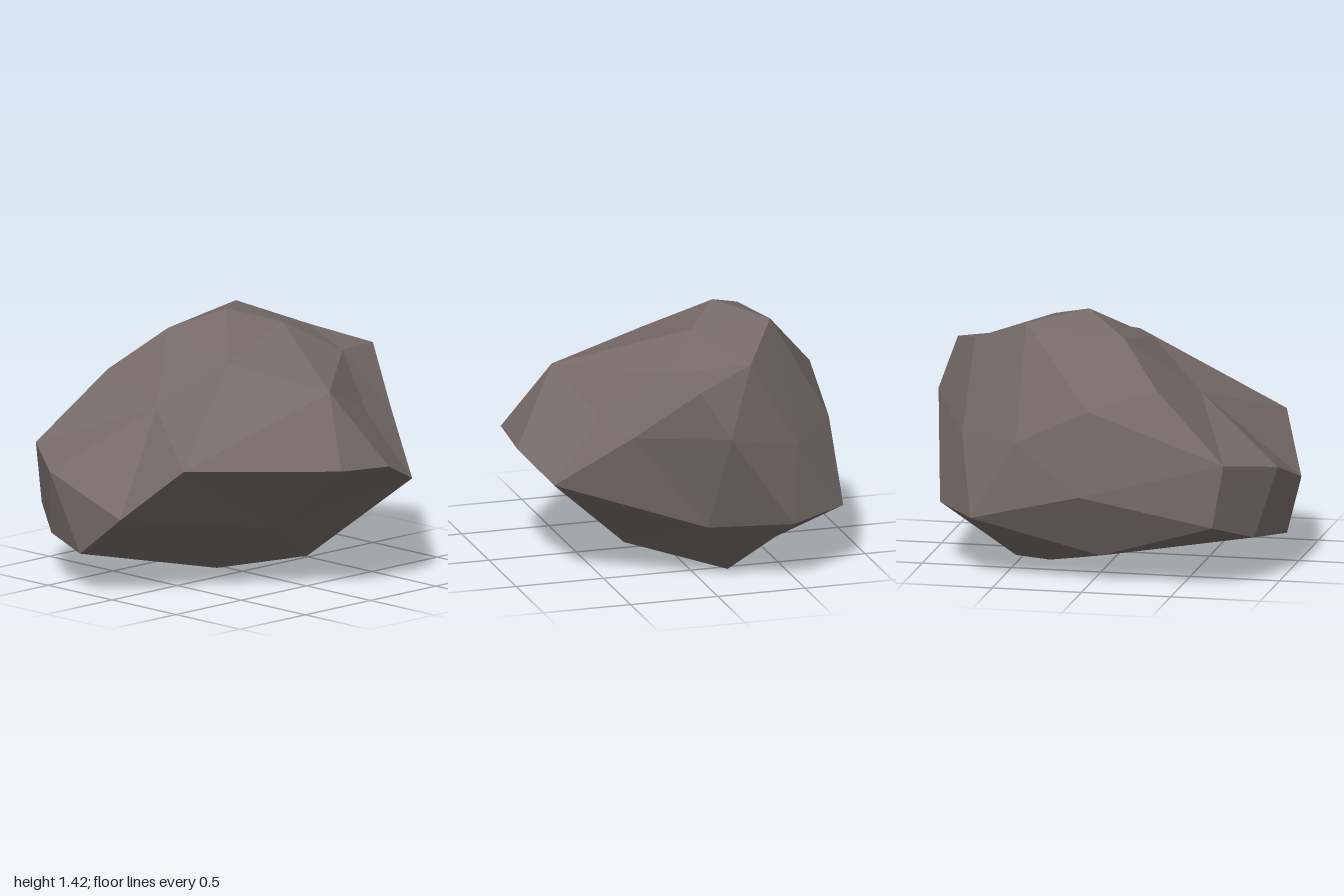
import * as THREE from 'three';
import { ConvexGeometry } from 'three/addons/geometries/ConvexGeometry.js';

// Corner points of the boulder, grouped by region
const top = [
  [0.12, 1.417, -0.245], [0.42, 1.375, -0.48], [0.355, 1.335, -0.05], [-0.17, 1.205, 0.06],
  [-0.12, 1.31, -0.46], [0.595, 1.176, 0.175], [0.755, 1.228, -0.265], [0.925, 1.15, 0.075],
  [0.03, 1.105, 0.65], [0.45, 0.91, 0.505], [-0.49, 0.965, -0.175], [-0.355, 1.08, -0.69],
];
const rim = [
  [-0.12, 0.725, 0.895], [0.23, 0.7, 0.91], [0.525, 0.567, 0.79], [0.74, 0.865, 0.405],
  [1, 0.89, -0.08], [0.77, 0.75, -0.53], [0.41, 0.78, -0.82], [0, 0.975, -0.838],
  [-0.76, 0.71, -0.84], [-0.99, 0.64, -0.5], [-1, 0.457, 0.065], [-0.845, 0.758, 0.4],
];
const base = [
  [-0.17, 0.34, 0.43], [0.82, 0.34, 0], [0.908, 0.343, -0.465], [0.66, 0.345, -0.825],
  [0.035, 0.51, -0.915], [-0.7, 0.36, -0.855], [-0.88, 0.26, -0.595], [-0.99, 0.215, -0.26],
  [-0.05, 0.15, -0.74], [0.28, 0.06, -0.52], [0.54, 0, -0.2], [0.21, 0.1, 0.29], [-0.155, 0.037, -0.04],
];

// Joins the points as a net on a sphere, then moves them to their places, so hollows survive
function rockGeometry(corners, centre) {
  const points = corners.map((c) => new THREE.Vector3(...c));
  const directions = points.map((p) => p.clone().sub(centre).normalize());
  const geometry = new ConvexGeometry(directions);
  const position = geometry.attributes.position;
  const v = new THREE.Vector3();
  for (let i = 0; i < position.count; i++) {
    v.fromBufferAttribute(position, i);
    let nearest = 0;
    directions.forEach((d, j) => {
      if (d.distanceToSquared(v) < directions[nearest].distanceToSquared(v)) nearest = j;
    });
    position.setXYZ(i, ...points[nearest].toArray());
  }
  geometry.computeVertexNormals();
  return geometry;
}

export function createModel() {
  const group = new THREE.Group();
  group.name = 'rock';
  const stone = new THREE.MeshStandardMaterial({ color: 0x756a67, flatShading: true });
  stone.name = 'warm grey stone';

  // Boulder
  const boulder = new THREE.Mesh(
    rockGeometry([...top, ...rim, ...base], new THREE.Vector3(0, 0.62, -0.05)),
    stone
  );
  boulder.name = 'boulder';
  group.add(boulder);
  return group;
}
